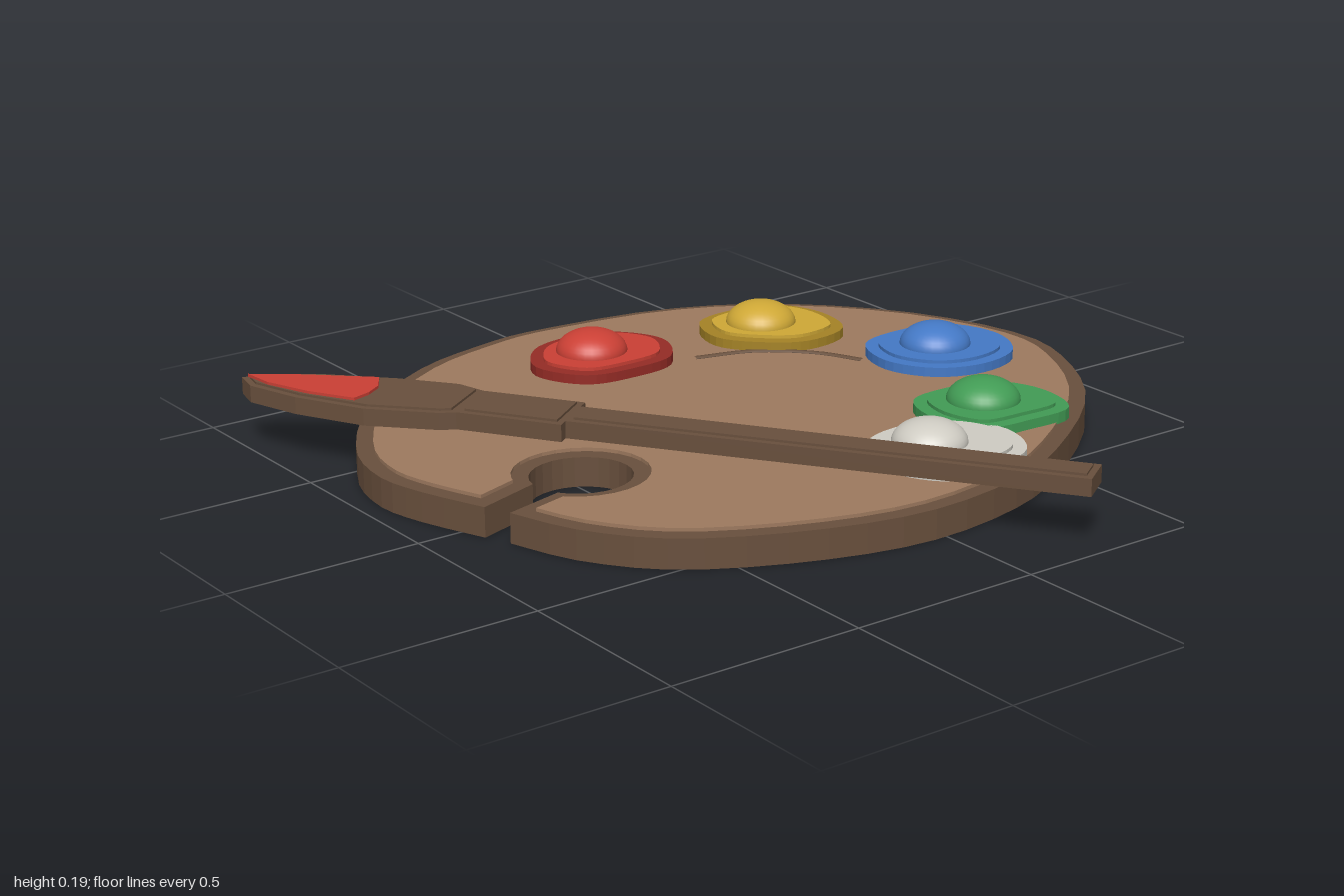
import * as THREE from 'three';

const mat = (name, color) => {
  const m = new THREE.MeshStandardMaterial({ color });
  m.name = name;
  return m;
};
const V = ([x, z]) => new THREE.Vector2(x, z);

// Moves a closed outline inwards by d, mitred at the corners
function inset(pts, d) {
  const p = THREE.ShapeUtils.area(pts) < 0 ? [...pts].reverse() : pts;
  const n = p.length;
  const normal = (a, b) => new THREE.Vector2(a.y - b.y, b.x - a.x).normalize();
  return p.map((q, i) => {
    const n1 = normal(p[(i + n - 1) % n], q);
    const n2 = normal(q, p[(i + 1) % n]);
    const k = d / Math.max(0.4, 1 + n1.dot(n2));
    return q.clone().addScaledVector(n1.add(n2), k);
  });
}

// Flat slab with an outline in x and z, between two heights
function slab(name, pts, bottom, top, material) {
  const g = new THREE.ExtrudeGeometry(new THREE.Shape(pts), { depth: top - bottom, bevelEnabled: false });
  g.rotateX(Math.PI / 2).translate(0, top, 0);
  const mesh = new THREE.Mesh(g, material);
  mesh.name = name;
  return mesh;
}

export function createModel() {
  const model = new THREE.Group();
  model.name = 'paintPalette';

  const darkWood = mat('dark wood', 0x69503d);
  const lightWood = mat('light wood', 0x9e7a5f);
  const red = mat('red paint', 0xcb4035);
  const darkRed = mat('dark red paint', 0x952c26);
  const yellow = mat('yellow paint', 0xcfa836);
  const darkYellow = mat('dark yellow paint', 0xa58326);
  const blue = mat('blue paint', 0x4479c6);
  const green = mat('green paint', 0x429c55);
  const white = mat('white paint', 0xcfccc3);

  // Board outline: outer curve, then the slot and the thumb hole
  const rim = [
    [-0.83, 0.13], [-0.76, 0.32], [-0.61, 0.5], [-0.34, 0.64], [-0.05, 0.708], [0.25, 0.67],
    [0.49, 0.56], [0.78, 0.34], [0.95, 0.08], [1, -0.16], [0.89, -0.48], [0.65, -0.765],
    [0.35, -0.925], [-0.02, -0.978], [-0.21, -0.96], [-0.45, -0.885], [-0.72, -0.695],
    [-0.895, -0.455], [-0.947, -0.27], [-0.925, -0.12], [-0.857, 0.064],
  ];
  const outline = new THREE.SplineCurve(rim.map(V)).getPoints(64);
  for (let i = 0; i <= 24; i++) {
    const a = Math.PI * (1.05 + 1.78 * i / 24);
    outline.push(V([-0.56 + 0.127 * Math.cos(a), 0.025 + 0.123 * Math.sin(a)]));
  }
  model.add(slab('board', outline, 0, 0.076, darkWood));
  model.add(slab('boardFace', inset(outline, 0.042), 0.076, 0.085, lightWood));

  // Grain marks on the face
  const marks = [
    [[0.16, -0.5], [0.32, -0.45], [0.44, -0.34], [0.5, -0.22]],
    [[-0.07, 0.357], [0.01, 0.38], [0.1, 0.39]],
  ];
  for (const m of marks) {
    const path = new THREE.CatmullRomCurve3(m.map(([x, z]) => new THREE.Vector3(x, 0, z)));
    const g = new THREE.TubeGeometry(path, 16, 0.012, 6).scale(1, 0.4, 1).translate(0, 0.085, 0);
    const mesh = new THREE.Mesh(g, darkWood);
    mesh.name = 'grainMark';
    model.add(mesh);
  }

  // Paint blobs: centre, dome centre, and radii clockwise from the back
  const blobs = [
    ['red', red, darkRed, [-0.055, -0.63], [-0.075, -0.638], [0.16, 0.18, 0.2, 0.19, 0.16, 0.19, 0.2, 0.175]],
    ['yellow', yellow, darkYellow, [0.445, -0.55], [0.428, -0.566], [0.165, 0.18, 0.18, 0.2, 0.175, 0.155, 0.18, 0.19]],
    ['blue', blue, blue, [0.69, -0.125], [0.68, -0.137], [0.175, 0.2, 0.195, 0.19, 0.175, 0.18, 0.19, 0.2]],
    ['green', green, green, [0.49, 0.295], [0.484, 0.28], [0.155, 0.175, 0.18, 0.2, 0.155, 0.185, 0.18, 0.19]],
    ['white', white, white, [0.21, 0.465], [0.175, 0.437], [0.175, 0.185, 0.19, 0.19, 0.175, 0.185, 0.19, 0.195]],
  ];
  for (const [name, paint, edge, [x, z], [dx, dz], radii] of blobs) {
    const blob = new THREE.Group();
    blob.name = name + 'Paint';
    const pts = radii.map((r, i) => V([x + r * Math.sin(i * Math.PI / 4), z - r * Math.cos(i * Math.PI / 4)]));
    const curve = new THREE.SplineCurve([...pts.slice(-2), ...pts, ...pts.slice(0, 3)]);
    const ring = [];
    for (let i = 0; i < 40; i++) ring.push(curve.getPoint((2 + i / 5) / 12));
    blob.add(slab('puddle', ring, 0.08, 0.11, edge));
    blob.add(slab('puddleTop', inset(ring, 0.034), 0.11, 0.119, paint));
    const dome = new THREE.Mesh(new THREE.SphereGeometry(0.094, 32, 10, 0, Math.PI * 2, 0, Math.PI / 2), paint);
    dome.name = 'dome';
    dome.scale.y = 0.62;
    dome.position.set(dx, 0.118, dz);
    blob.add(dome);
    model.add(blob);
  }

  // Brush: each part is a slab with a slightly raised inset top
  const brush = new THREE.Group();
  brush.name = 'brush';
  const parts = {
    bristles: [[-0.985, -0.855], [-0.92, -0.833], [-0.81, -0.75], [-0.675, -0.605], [-0.58, -0.48],
      [-0.56, -0.4], [-0.7, -0.305], [-0.735, -0.325], [-0.865, -0.465], [-0.955, -0.64], [-1, -0.785]],
    ferrule: [[-0.56, -0.4], [-0.41, -0.175], [-0.548, -0.075], [-0.7, -0.305]],
    handle: [[-0.435, -0.157], [0.295, 0.91], [0.21, 0.967], [-0.525, -0.092]],
  };
  for (const [name, pts] of Object.entries(parts)) {
    const shape = pts.map(V);
    brush.add(slab(name, shape, 0.128, 0.172, darkWood));
    brush.add(slab(name + 'Top', inset(shape, 0.016), 0.172, 0.178, darkWood));
  }
  const tip = [[-0.978, -0.835], [-0.9, -0.775], [-0.82, -0.7], [-0.73, -0.615], [-0.765, -0.56],
    [-0.81, -0.53], [-0.86, -0.515], [-0.925, -0.63], [-0.97, -0.75]];
  brush.add(slab('paintedTip', tip.map(V), 0.177, 0.185, red));
  model.add(brush);

  return model;
}
